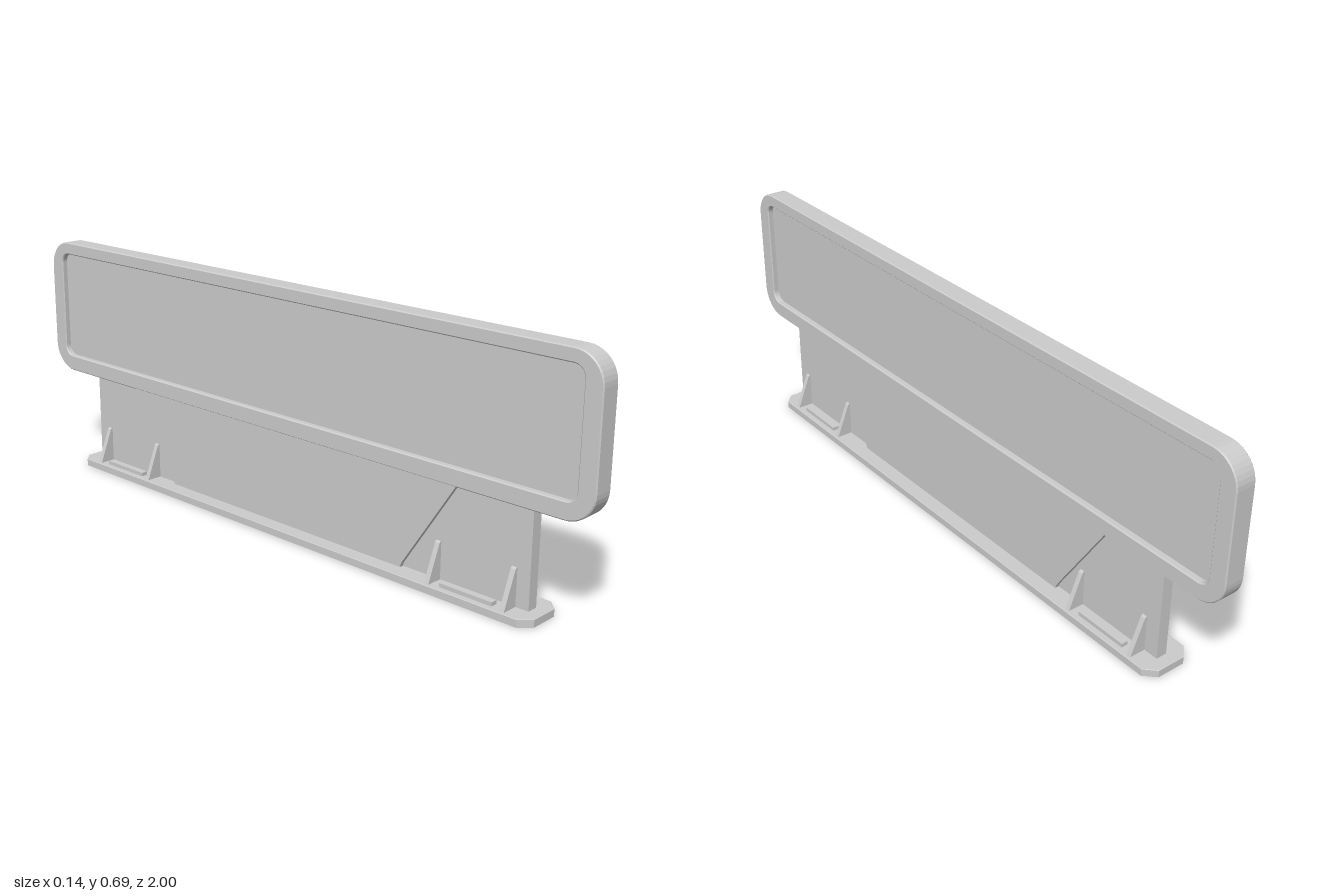
import * as THREE from 'three';

const material = new THREE.MeshStandardMaterial({ color: 0xcccccc });

// Rounded rectangle in the (z, y) plane
function roundedRect(Type, z0, z1, y0, y1, r) {
  const p = new Type();
  p.absarc(z1 - r, y0 + r, r, -Math.PI / 2, 0, false);
  p.absarc(z1 - r, y1 - r, r, 0, Math.PI / 2, false);
  p.absarc(z0 + r, y1 - r, r, Math.PI / 2, Math.PI, false);
  p.absarc(z0 + r, y0 + r, r, Math.PI, Math.PI * 1.5, false);
  p.closePath();
  return p;
}

const polygon = (points) => new THREE.Shape(points.map(([a, b]) => new THREE.Vector2(a, b)));

// Extrudes a (z, y) outline evenly to both sides of x = 0
function sideExtrude(shape, thickness, bevel = 0, curveSegments = 5) {
  const depth = thickness - 2 * bevel;
  const g = new THREE.ExtrudeGeometry(shape, {
    depth, curveSegments, bevelEnabled: bevel > 0,
    bevelSize: bevel, bevelThickness: bevel, bevelOffset: -bevel, bevelSegments: 1,
  });
  g.translate(0, 0, -depth / 2);
  g.rotateY(-Math.PI / 2);
  return g;
}

export function createModel() {
  const model = new THREE.Group();
  model.name = 'signBarrier';
  const add = (name, geometry, x = 0, y = 0, z = 0) => {
    const mesh = new THREE.Mesh(geometry, material);
    mesh.name = name;
    mesh.position.set(x, y, z);
    model.add(mesh);
    return mesh;
  };

  // Rounded rim around the board, with a recessed panel on both faces
  const rim = roundedRect(THREE.Shape, -1, 1, 0.285, 0.695, 0.08);
  rim.holes.push(roundedRect(THREE.Path, -0.95, 0.95, 0.333, 0.658, 0.03));
  add('boardRim', sideExtrude(rim, 0.06, 0.003));
  add('boardPanel', new THREE.BoxGeometry(0.026, 0.345, 1.92), 0, 0.495, 0);

  // Thin web over the full foot length, thicker tapered web in the middle
  add('supportWeb', new THREE.BoxGeometry(0.032, 0.28, 1.635), 0, 0.155, 0.0125);
  add('middleWeb', sideExtrude(polygon([
    [-0.44, 0.02], [0.44, 0.02], [0.445, 0.035], [0.61, 0.287], [-0.61, 0.287], [-0.445, 0.035],
  ]), 0.057));

  // Base plate with clipped corners
  const w = 0.072, c = 0.03, front = 0.865, back = -0.84;
  const base = new THREE.ExtrudeGeometry(polygon([
    [-w, -front + c], [-w + c, -front], [w - c, -front], [w, -front + c],
    [w, -back - c], [w - c, -back], [-w + c, -back], [-w, -back - c],
  ]), { depth: 0.02, bevelEnabled: true, bevelSize: 0.002, bevelThickness: 0.001, bevelOffset: -0.002, bevelSegments: 1 });
  base.rotateX(-Math.PI / 2);
  add('basePlate', base, 0, 0.001, 0);

  // Gussets bracing the web, each spanning both sides
  const gusset = new THREE.ExtrudeGeometry(polygon([
    [-0.064, 0.02], [0.064, 0.02], [0.023, 0.122], [0.019, 0.126],
    [-0.019, 0.126], [-0.023, 0.122],
  ]), { depth: 0.014, bevelEnabled: false });
  gusset.translate(0, 0, -0.007);
  for (const z of [0.785, 0.555, -0.528, -0.755]) add('gusset', gusset, 0, 0, z);

  // Low raised strips between the gussets
  for (const z of [0.67, -0.642]) {
    for (const side of [-1, 1]) {
      add('baseStrip', new THREE.BoxGeometry(0.02, 0.014, 0.16), side * 0.045, 0.026, z);
    }
  }
  return model;
}
